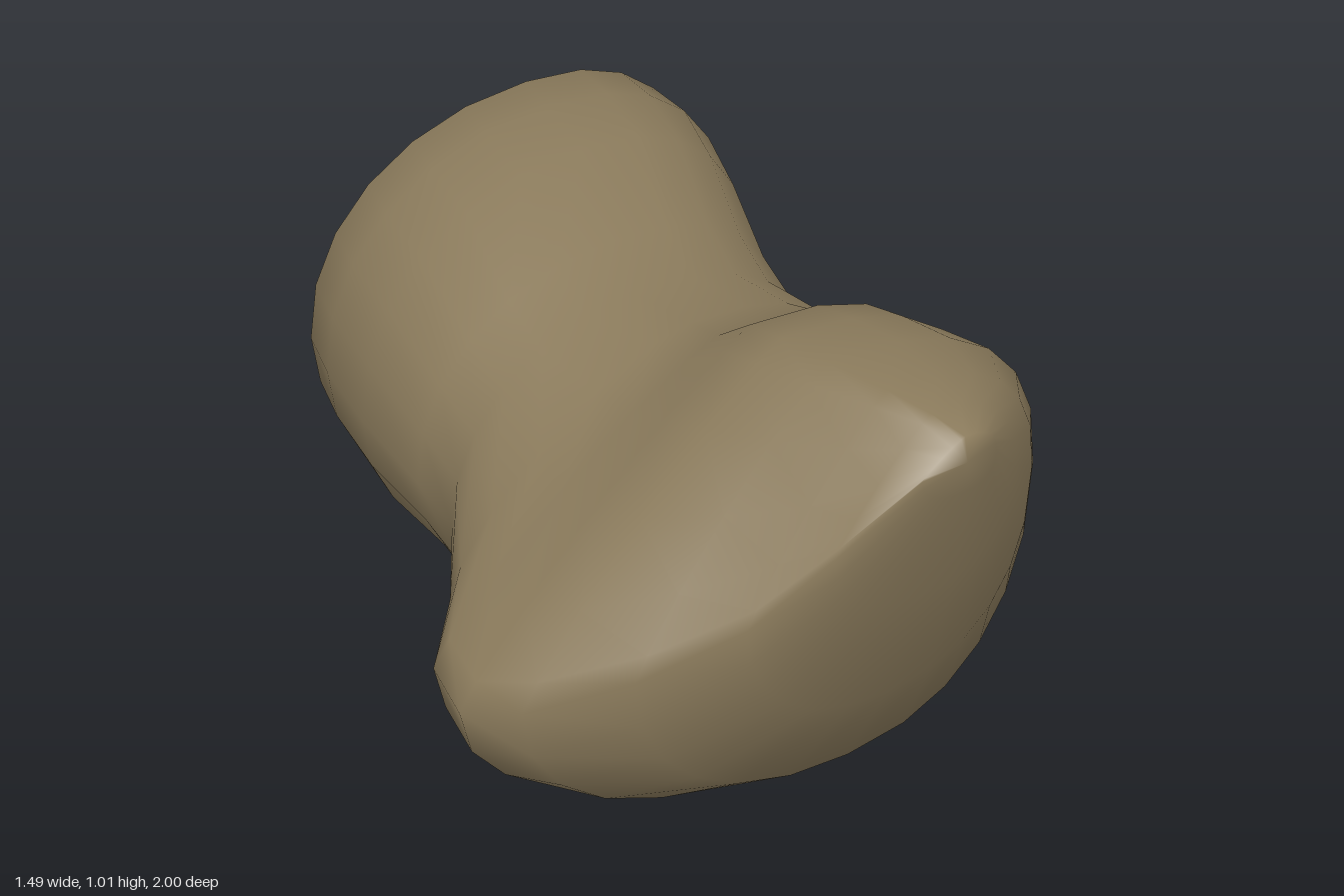
import * as THREE from 'three';

// Cross-sections from front to back: each row gives the extremes of one slice
// z, left x, left y, right x, right y, bottom y, bottom x, top y, top x
const SLICES = [
  [0.99, -0.10, 0.90, 0.08, 0.90, 0.84, 0.00, 0.96, 0.00],
  [0.93, -0.25, 0.76, 0.19, 0.80, 0.60, -0.02, 0.99, -0.03],
  [0.83, -0.37, 0.60, 0.33, 0.70, 0.32, -0.02, 1.00, -0.05],
  [0.70, -0.53, 0.48, 0.46, 0.60, 0.09, 0.00, 1.01, -0.08],
  [0.56, -0.69, 0.40, 0.465, 0.55, 0.01, 0.00, 1.00, -0.08],
  [0.44, -0.75, 0.36, 0.47, 0.53, 0.00, 0.05, 0.97, -0.06],
  [0.31, -0.72, 0.38, 0.46, 0.53, 0.02, 0.05, 0.88, -0.03],
  [0.18, -0.59, 0.42, 0.45, 0.52, 0.07, 0.03, 0.84, 0.00],
  [0.00, -0.46, 0.45, 0.465, 0.50, 0.12, 0.00, 0.83, 0.00],
  [-0.15, -0.44, 0.47, 0.51, 0.50, 0.14, 0.03, 0.87, 0.05],
  [-0.38, -0.42, 0.50, 0.61, 0.50, 0.10, 0.10, 0.96, 0.15],
  [-0.60, -0.365, 0.50, 0.72, 0.50, 0.095, 0.19, 0.955, 0.22],
  [-0.75, -0.31, 0.50, 0.74, 0.50, 0.09, 0.25, 0.945, 0.27],
  [-0.85, -0.21, 0.48, 0.69, 0.48, 0.09, 0.27, 0.87, 0.28],
  [-0.94, -0.09, 0.42, 0.58, 0.42, 0.13, 0.28, 0.73, 0.28],
  [-0.99, 0.10, 0.35, 0.44, 0.35, 0.21, 0.28, 0.50, 0.28],
];
const SIDES = 24;

// Point on a slice: four curved quarters joining its extremes
function slicePoint(row, angle) {
  const [z, xl, yl, xr, yr, yb, xb, yt, xt] = row;
  const c = Math.cos(angle), s = Math.sin(angle);
  const right = c >= 0, up = s >= 0;
  const sideX = right ? xr : xl, sideY = right ? yr : yl;
  const endX = up ? xt : xb, endY = up ? yt : yb;
  // the quarter above the side lobe is nearly straight, the others are full
  const lobe = THREE.MathUtils.smoothstep(z, -0.05, 0.4);
  const e = right ? 0.85 : up ? 0.95 + 0.8 * lobe : 0.95;
  return [
    endX + (sideX - endX) * Math.abs(c) ** e,
    sideY + (endY - sideY) * Math.abs(s) ** e,
    z,
  ];
}

function buildRock() {
  const positions = [], index = [];
  for (const row of SLICES) {
    for (let j = 0; j < SIDES; j++) {
      positions.push(...slicePoint(row, (j / SIDES) * Math.PI * 2));
    }
  }
  // end points
  const front = positions.length / 3, back = front + 1;
  positions.push(0, 0.91, 1, 0.28, 0.35, -1);

  const last = SLICES.length - 1;
  for (let j = 0; j < SIDES; j++) {
    const k = (j + 1) % SIDES;
    for (let i = 0; i < last; i++) {
      const a = i * SIDES + j, b = a + SIDES;
      const d = i * SIDES + k, c = d + SIDES;
      index.push(a, b, d, b, c, d);
    }
    index.push(front, j, k, back, last * SIDES + k, last * SIDES + j);
  }
  const geometry = new THREE.BufferGeometry();
  geometry.setAttribute('position', new THREE.Float32BufferAttribute(positions, 3));
  geometry.setIndex(index);
  geometry.computeVertexNormals();
  return geometry;
}

export function createModel() {
  const stone = new THREE.MeshStandardMaterial({ color: 0x8b7b5c });
  stone.name = 'brown stone';
  const rock = new THREE.Mesh(buildRock(), stone);
  rock.name = 'rock';
  const model = new THREE.Group();
  model.name = 'asteroid';
  model.add(rock);
  return model;
}
